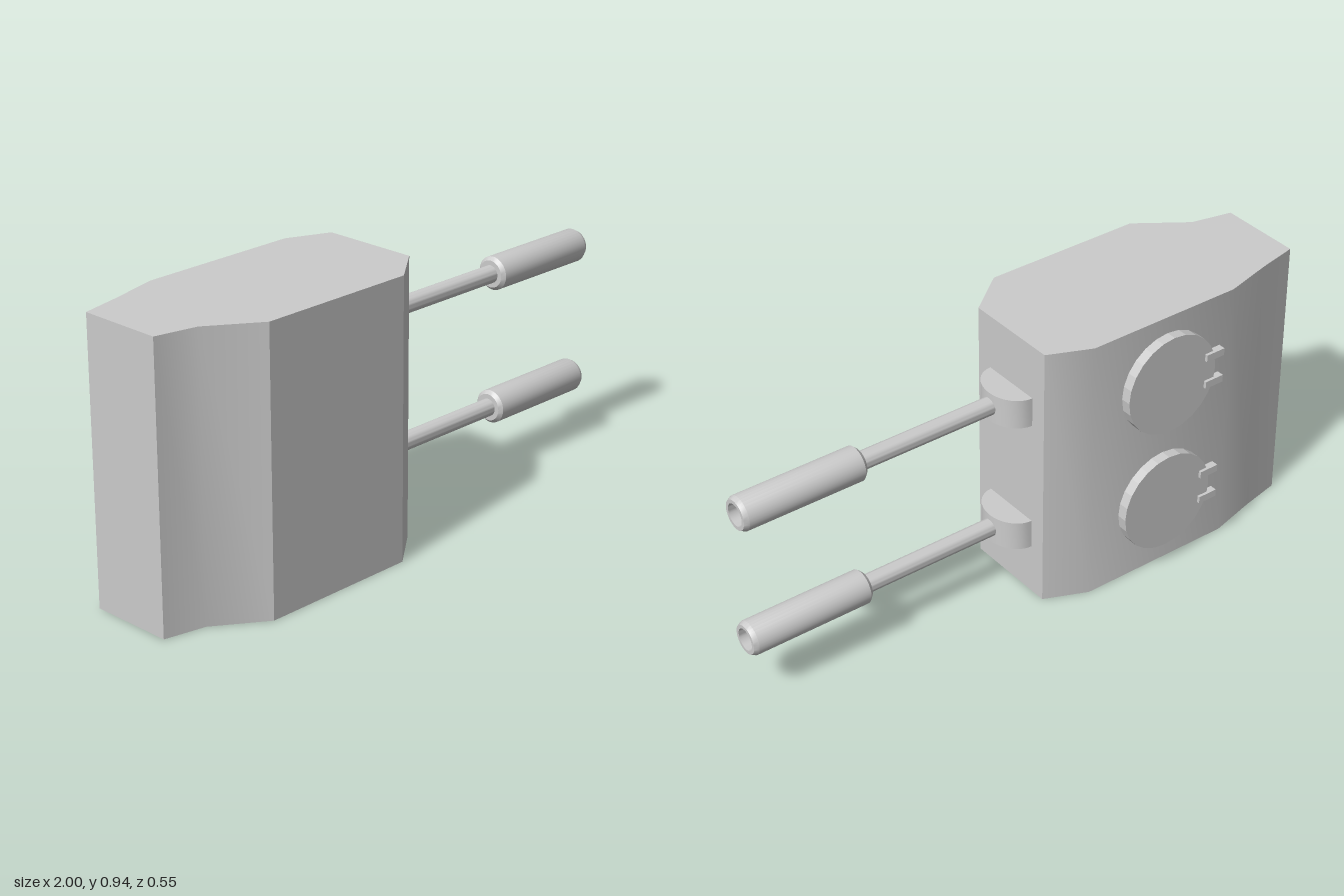
import * as THREE from 'three';
import { toCreasedNormals } from 'three/addons/utils/BufferGeometryUtils.js';

const material = new THREE.MeshStandardMaterial({ color: 0xcccccc });
const flatMaterial = new THREE.MeshStandardMaterial({ color: 0xcccccc, flatShading: true });

function part(name, geometry, mat = material) {
  const mesh = new THREE.Mesh(geometry, mat);
  mesh.name = name;
  return mesh;
}

// Extrude an outline of [x, z] points upwards from y = 0
function prism(outline, height, crease = 0.52) {
  const shape = new THREE.Shape(outline.map(([x, z]) => new THREE.Vector2(x, -z)));
  const geometry = new THREE.ExtrudeGeometry(shape, { depth: height, bevelEnabled: false });
  geometry.rotateX(-Math.PI / 2);
  return toCreasedNormals(geometry, crease);
}

// Rounded mount, standing on its own y = 0
function createMantlet() {
  const outline = [];
  for (let i = 0; i <= 16; i++) {
    const a = -Math.PI / 2 + (i / 16) * Math.PI;
    outline.push([0.087 * Math.cos(a), 0.107 * Math.sin(a)]);
  }
  return part('mantlet', prism(outline, 0.102).translate(0, -0.051, 0));
}

// Barrel and hollow muzzle sleeve turned about the x axis
function createBarrel() {
  const profile = [
    [0.03, 0.03], [0.03, 0.568], [0.046, 0.568], [0.057, 0.58],
    [0.057, 0.985], [0.049, 1], [0.037, 1], [0.037, 0.9], [0, 0.9],
  ].map(([r, x]) => new THREE.Vector2(r, x));
  const geometry = new THREE.LatheGeometry(profile, 32);
  geometry.rotateZ(-Math.PI / 2);
  return part('barrel', toCreasedNormals(geometry, 0.5));
}

// Round hatch with two hinges on the rear face
function createHatch() {
  const hatch = new THREE.Group();
  hatch.name = 'hatch';
  const lid = new THREE.CylinderGeometry(0.174, 0.174, 0.045, 24);
  lid.rotateX(Math.PI / 2);
  const lidMesh = part('hatchLid', lid, flatMaterial);
  lidMesh.position.z = -0.2425;
  hatch.add(lidMesh);
  const hingeOutline = [
    [-0.2, -0.275], [-0.13, -0.275], [-0.13, -0.263],
    [-0.165, -0.263], [-0.165, -0.25], [-0.2, -0.25],
  ];
  for (const y of [-0.05, 0.05]) {
    const hinge = part('hinge', prism(hingeOutline, 0.025));
    hinge.position.y = y - 0.0125;
    hatch.add(hinge);
  }
  return hatch;
}

export function createModel() {
  const model = new THREE.Group();
  model.name = 'turret';

  // Faceted housing
  model.add(part('housing', prism([
    [-1, 0.13], [-0.86, 0.16], [-0.695, 0.275], [-0.143, 0.275], [0, 0.163],
    [0, -0.168], [-0.143, -0.23], [-0.695, -0.23], [-0.86, -0.187], [-1, -0.157],
  ], 0.938)));

  // Twin guns
  for (const y of [0.23, 0.699]) {
    const gun = new THREE.Group();
    gun.name = 'gun';
    gun.add(createMantlet(), createBarrel());
    gun.position.set(0, y, -0.003);
    model.add(gun);
  }

  // Twin hatches
  for (const y of [0.256, 0.706]) {
    const hatch = createHatch();
    hatch.position.set(-0.43, y, 0);
    model.add(hatch);
  }
  return model;
}
